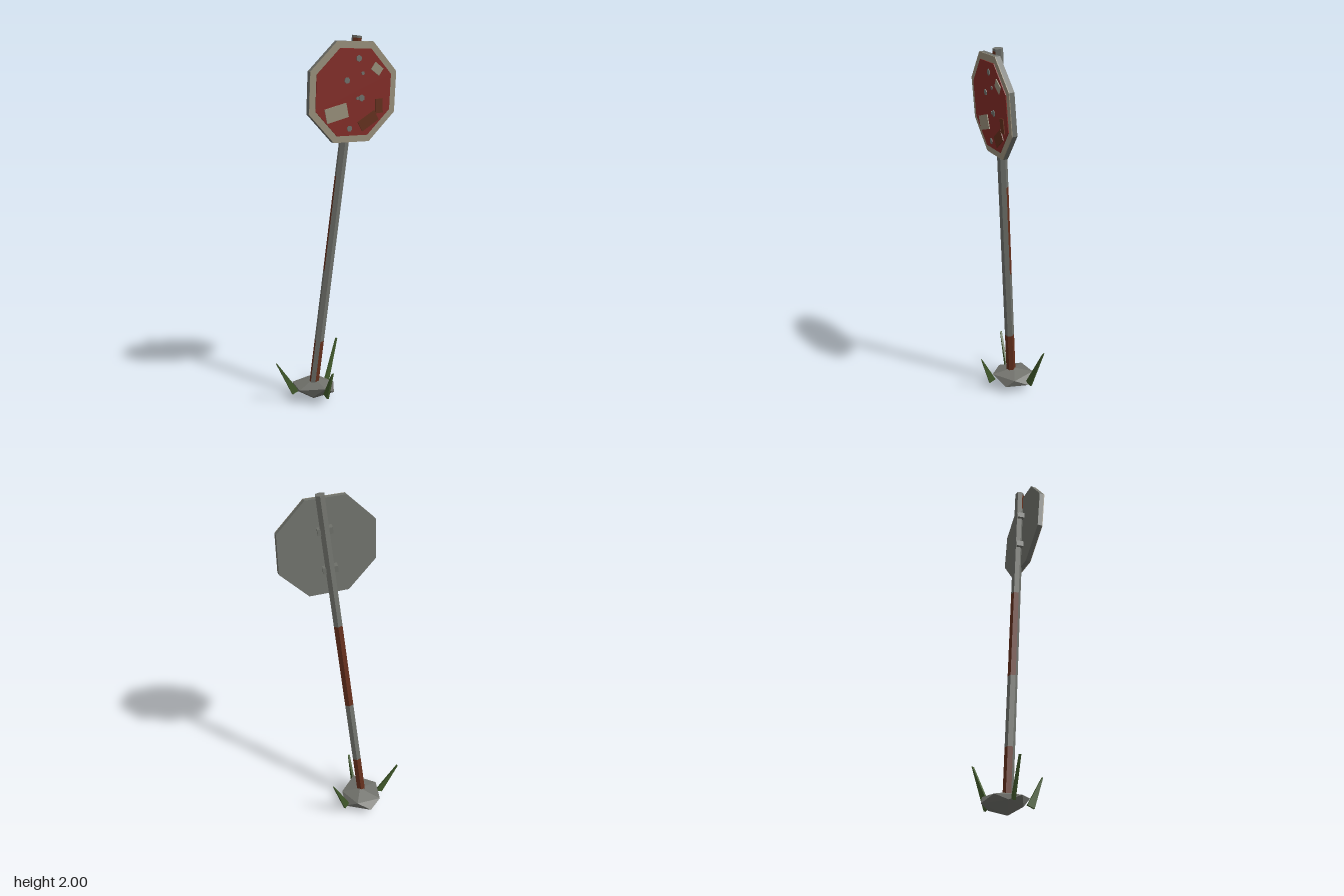
import * as THREE from 'three';
import { ConvexGeometry } from 'three/addons/geometries/ConvexGeometry.js';

const paint = (name, color) => {
  const m = new THREE.MeshStandardMaterial({ color });
  m.name = name;
  return m;
};

// Split every face so that edges stay hard
function faceted(geo) {
  const g = geo.index ? geo.toNonIndexed() : geo;
  g.computeVertexNormals();
  return g;
}

export function createModel() {
  const steel = paint('weathered steel', 0x70726c);
  const red = paint('faded red', 0x842c27);
  const cream = paint('dirty cream', 0x9a917c);
  const rust = paint('rust', 0x65301d);
  const rock = paint('stone grey', 0x70716b);
  const green = paint('grass green', 0x425a2c);

  const model = new THREE.Group();
  model.name = 'leaningRoadSign';
  const add = (parent, name, geo, mat, pos = [0, 0, 0]) => {
    const mesh = new THREE.Mesh(faceted(geo), mat);
    mesh.name = name;
    mesh.position.set(...pos);
    parent.add(mesh);
    return mesh;
  };

  // Leaning hexagonal pole, stacked from sections with rust on chosen faces.
  // Faces run: 0 front-left, 1 left, 2 back-left, 3 back-right, 4 right, 5 front-right
  const foot = new THREE.Vector3(-0.111, 0.07, -0.014);
  const head = new THREE.Vector3(0.104, 1.997, 0.082);
  const axis = head.clone().sub(foot);
  const perY = axis.length() / axis.y;
  const pole = new THREE.Group();
  pole.name = 'pole';
  pole.position.copy(foot);
  pole.quaternion.setFromUnitVectors(new THREE.Vector3(0, 1, 0), axis.clone().normalize());
  model.add(pole);
  const sections = [
    ['poleFoot', 0.07, 0.35, [0, 1, 2, 3, 4]],
    ['poleLower', 0.35, 0.75, []],
    ['poleMiddle', 0.75, 1.27, [2, 3, 4]],
    ['poleUpper', 1.27, 1.88, []],
    ['poleTop', 1.88, 1.985, [0, 5]],
    ['poleTip', 1.985, 1.997, []],
  ];
  for (const [name, y0, y1, rusty] of sections) {
    const h = (y1 - y0) * perY;
    const geo = new THREE.CylinderGeometry(0.0265, 0.0265, h, 6);
    geo.clearGroups();
    for (let i = 0; i < 6; i++) geo.addGroup(i * 6, 6, rusty.includes(i) ? 1 : 0);
    geo.addGroup(36, 36, 0);
    add(pole, name, geo, [steel, rust], [0, (y0 - foot.y) * perY + h / 2, 0]);
  }

  // Octagonal sign, turned and tipped forward
  const sign = new THREE.Group();
  sign.name = 'sign';
  sign.position.set(0.073, 1.712, 0.099);
  sign.rotation.set(0.075, 0.255, 0, 'YXZ');
  model.add(sign);
  const octagon = (apothem, depth) => {
    const r = apothem / Math.cos(Math.PI / 8);
    return new THREE.CylinderGeometry(r, r, depth, 8).rotateY(Math.PI / 8).rotateX(Math.PI / 2);
  };
  add(sign, 'signPlate', octagon(0.257, 0.025), steel);
  add(sign, 'signBorder', octagon(0.257, 0.004), cream, [0, 0, 0.0145]);
  add(sign, 'signFace', octagon(0.222, 0.004), red, [0, 0, 0.0185]);

  // Peeled and rusted patches: x, y, width, height, turn
  const patches = [
    ['peeledPatch', cream, -0.1, -0.103, 0.13, 0.075, 0.25],
    ['peeledPatchSmall', cream, 0.133, 0.119, 0.06, 0.045, -0.6],
    ['rustPatch', rust, 0.092, -0.148, 0.115, 0.058, 0.55],
    ['rustPatchSmall', rust, 0.155, -0.072, 0.045, 0.075, 0.08],
  ];
  for (const [name, mat, x, y, w, h, turn] of patches)
    add(sign, name, new THREE.BoxGeometry(w, h, 0.005), mat, [x, y, 0.0225]).rotation.z = turn;

  // Chips of bare metal: x, y, radius
  const chips = [
    [0.02, 0.172, 0.017], [-0.045, 0.062, 0.017], [0.048, 0.098, 0.01],
    [0.047, -0.029, 0.018], [0.022, -0.03, 0.009], [-0.019, -0.185, 0.016],
  ];
  chips.forEach(([x, y, r], i) => {
    const geo = new THREE.CylinderGeometry(r, r, 0.004, 6).rotateX(Math.PI / 2);
    add(sign, 'metalChip', geo, steel, [x, y, 0.0222]).rotation.z = i * 0.7;
  });

  // Clamps holding the sign on the pole
  for (const y of [1.6, 1.81]) {
    const p = foot.clone().addScaledVector(axis, (y - foot.y) / axis.y);
    const clamp = add(model, 'clamp', new THREE.BoxGeometry(0.078, 0.034, 0.042), steel,
      [p.x, p.y, p.z + 0.008]);
    clamp.rotation.set(0.05, 0.1, -0.11);
  }

  // Faceted stone: apex, upper ring, lower ring, lowest point
  const stone = [
    [-0.1, 0.12, -0.03], [-0.11, 0.005, -0.015],
    [-0.204, 0.085, 0.046], [-0.214, 0.085, -0.09], [-0.075, 0.1, -0.136],
    [0.007, 0.09, -0.018], [-0.073, 0.1, 0.1],
    [-0.155, 0.05, -0.147], [-0.007, 0.05, -0.1], [-0.004, 0.048, 0.03],
    [-0.13, 0.045, 0.06], [-0.208, 0.06, -0.02],
  ].map((p) => new THREE.Vector3(...p));
  add(model, 'baseStone', new ConvexGeometry(stone), rock);

  // Flat tapering grass blades: base and tip
  const blades = [
    [[-0.215, 0.055, 0], [-0.329, 0.245, 0.02]],
    [[-0.015, 0.052, -0.102], [0.07, 0.29, -0.175]],
    [[-0.07, 0.055, 0.1], [-0.048, 0.213, 0.168]],
  ];
  for (const [b, t] of blades) {
    const dx = t[0] - b[0], dz = t[2] - b[2], run = Math.hypot(dx, dz), rise = t[1] - b[1];
    const outline = new THREE.Shape([
      new THREE.Vector2(-0.016, 0.012), new THREE.Vector2(0.022, -0.004),
      new THREE.Vector2(run, rise), new THREE.Vector2(run - 0.005, rise),
    ]);
    const geo = new THREE.ExtrudeGeometry(outline, { depth: 0.012, bevelEnabled: false });
    geo.translate(0, 0, -0.006);
    add(model, 'grassBlade', geo, green, b).rotation.y = Math.atan2(-dz, dx);
  }

  return model;
}
